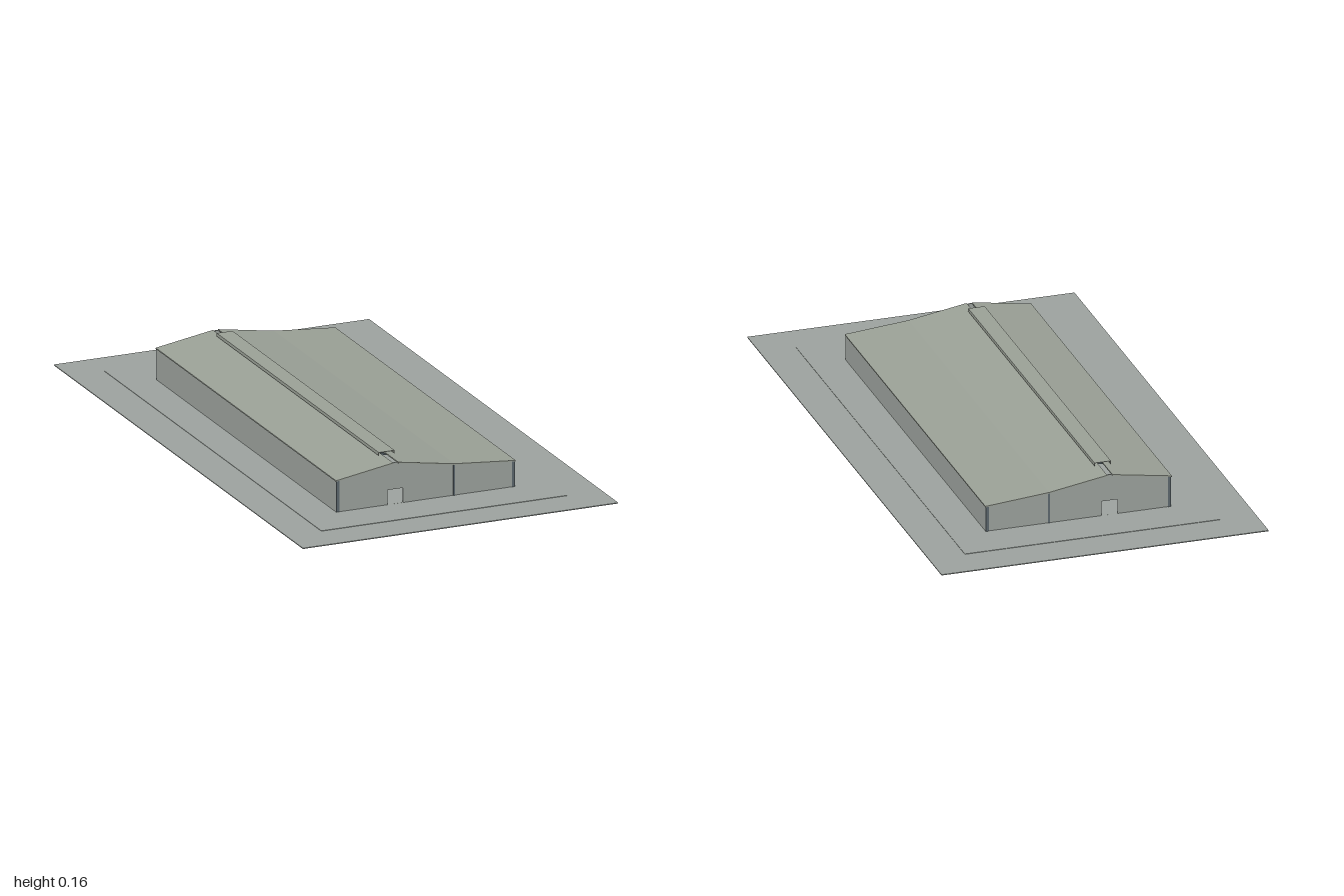
import * as THREE from 'three';

export function createModel() {
  const model = new THREE.Group();
  const mat = (name, color) => {
    const m = new THREE.MeshStandardMaterial({ color });
    m.name = name;
    return m;
  };
  const groundMat = mat('concreteGrey', 0x9ca29e);
  const wallMat = mat('wallGrey', 0x9ca29d);
  const roofMat = mat('roofGrey', 0x9aa096);
  const steelMat = mat('steelGrey', 0x5c676d);

  const add = (name, geometry, material, x = 0, y = 0, z = 0, parent = model) => {
    const mesh = new THREE.Mesh(geometry, material);
    mesh.name = name;
    mesh.position.set(x, y, z);
    parent.add(mesh);
    return mesh;
  };
  // Box given by its limits
  const box = (name, material, x0, x1, y0, y1, z0, z1, parent) =>
    add(name, new THREE.BoxGeometry(x1 - x0, y1 - y0, z1 - z0), material,
      (x0 + x1) / 2, (y0 + y1) / 2, (z0 + z1) / 2, parent);
  // Polygon in x and y, extruded along z
  const prism = (name, material, points, z0, z1, holes = [], parent) => {
    const shape = new THREE.Shape(points.map(p => new THREE.Vector2(...p)));
    holes.forEach(h => shape.holes.push(new THREE.Path(h.map(p => new THREE.Vector2(...p)))));
    const g = new THREE.ExtrudeGeometry(shape, { depth: z1 - z0, bevelEnabled: false });
    return add(name, g, material, 0, 0, z0, parent);
  };

  const FLOOR = 0.0045, RIDGE = -0.108, END = 0.72, T = 0.004;
  const eaveL = [-0.32, 0.114], slotL = [RIDGE - 0.009, 0.147];
  const slotR = [RIDGE + 0.009, 0.147], valley = [0.1, 0.114], eaveR = [0.318, 0.095];

  // Ground slab and raised apron
  box('ground', groundMat, -0.56, 0.56, 0, 0.003, -1, 1);
  box('apron', groundMat, -0.437, 0.437, 0.003, FLOOR, -0.87, 0.87);

  // Gable walls with a through doorway at each end
  const gable = [[-0.316, FLOOR], [0.314, FLOOR], [0.314, 0.093], [0.1, 0.112],
    [RIDGE, 0.147], [-0.316, 0.112]];
  const door = [[-0.136, 0.0046], [-0.136, 0.055], [-0.08, 0.055], [-0.08, 0.0046]];
  prism('frontWall', wallMat, gable, END - T, END, [door]);
  prism('backWall', wallMat, gable, -END, -END + T, [door]);

  // Long side walls
  box('rightWall', wallMat, -0.318, -0.314, FLOOR, 0.112, -END, END);
  box('leftWall', wallMat, 0.312, 0.316, FLOOR, 0.093, -END, END);

  // Roof sheets, leaving a narrow open slot along the ridge
  const sheet = (name, a, b) => prism(name, roofMat,
    [[a[0], a[1] - T], [b[0], b[1] - T], b, a], -0.724, 0.724);
  sheet('rightRoof', eaveL, slotL);
  sheet('leftRoof', slotR, valley);
  sheet('leanToRoof', valley, eaveR);

  // Raised ridge vent cover with upright edges and open ends
  const vent = new THREE.Group();
  vent.name = 'ridgeVent';
  model.add(vent);
  box('ventTop', roofMat, RIDGE - 0.028, RIDGE + 0.028, 0.1605, 0.162, -0.65, 0.65, vent);
  for (const s of [-1, 1]) {
    const x = RIDGE + s * 0.0275;
    box('ventEdge', roofMat, x - 0.0005, x + 0.0005, 0.151, 0.1605, -0.65, 0.65, vent);
  }

  // Columns showing on the gable ends
  for (const s of [-1, 1]) {
    const z0 = s * END - 0.002, z1 = s * END + 0.002;
    box('cornerColumn', steelMat, -0.318, -0.308, FLOOR, 0.111, z0, z1);
    box('valleyColumn', steelMat, 0.097, 0.103, FLOOR, 0.111, z0, z1);
    box('cornerColumn', steelMat, 0.306, 0.316, FLOOR, 0.092, z0, z1);
  }

  // Interior portal frames, one at each bay
  const frames = new THREE.Group();
  frames.name = 'portalFrames';
  model.add(frames);
  const drop = (p, d) => [p[0], p[1] - d];
  const rafter = (a, b, z) => prism('rafter', steelMat,
    [drop(a, 0.013), drop(b, 0.013), drop(b, 0.005), drop(a, 0.005)], z - 0.002, z + 0.002, [], frames);
  const bays = 12;
  for (let i = 1; i < bays; i++) {
    const z = -END + (2 * END * i) / bays;
    box('column', steelMat, -0.313, -0.305, FLOOR, 0.105, z - 0.003, z + 0.003, frames);
    box('column', steelMat, 0.097, 0.103, FLOOR, 0.105, z - 0.003, z + 0.003, frames);
    box('column', steelMat, 0.303, 0.311, FLOOR, 0.086, z - 0.003, z + 0.003, frames);
    rafter([-0.313, 0.115], [RIDGE, 0.147], z);
    rafter([RIDGE, 0.147], valley, z);
    rafter(valley, [0.311, 0.0955], z);
  }

  return model;
}
